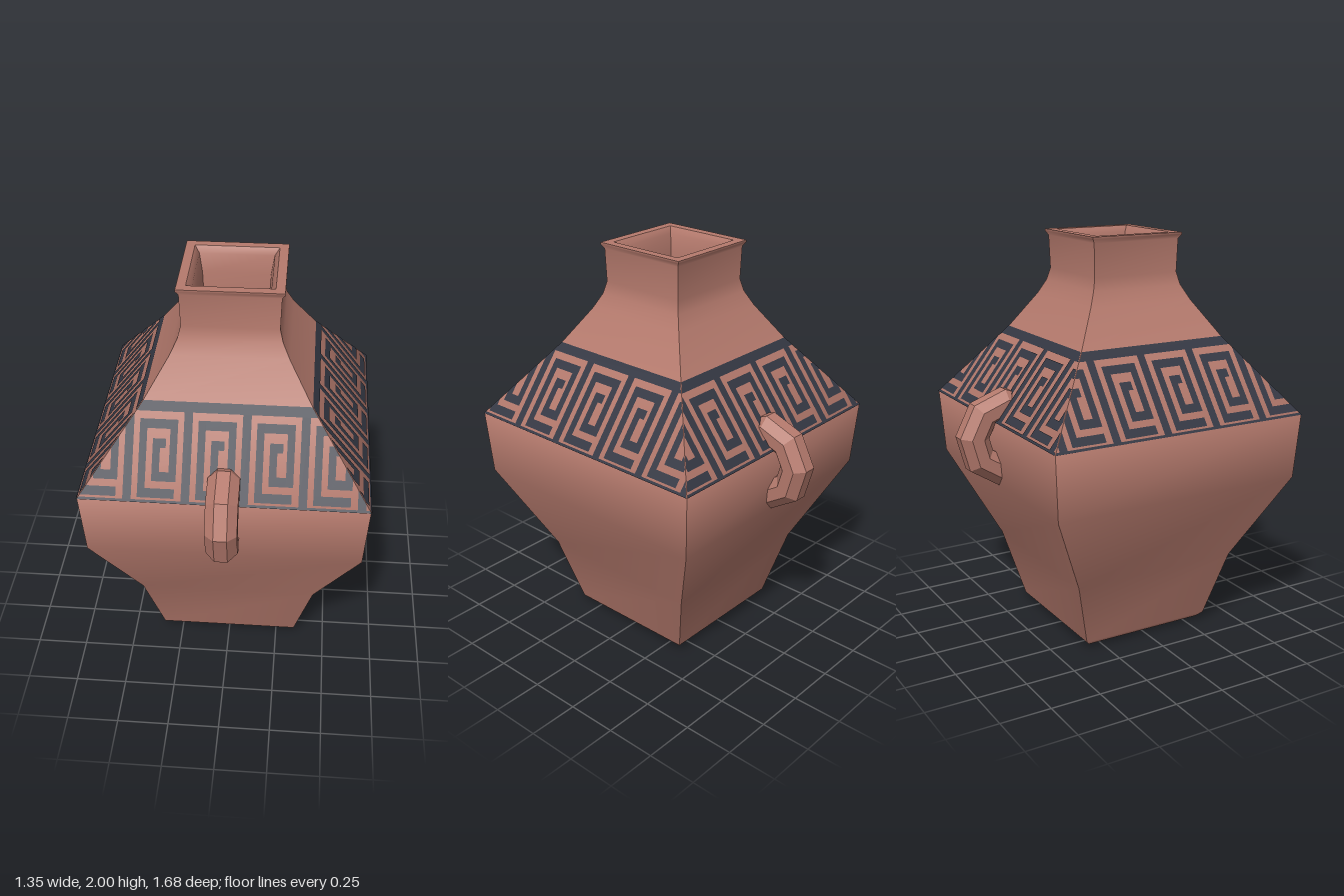
import * as THREE from 'three';

const clay = new THREE.MeshStandardMaterial({ color: 0xb57a6d });
clay.name = 'clay';
const slip = new THREE.MeshStandardMaterial({ color: 0x343743 });
slip.name = 'darkSlip';
const pale = new THREE.MeshStandardMaterial({ color: 0xcccccc });
pale.name = 'paleFloor';

// Square cross-section profiles: [half width, height]
const OUTER = [[0, 0], [0.27, 0.002], [0.32, 0.014], [0.345, 0.04], [0.435, 0.38], [0.65, 0.82],
  [0.67, 1.14], [0.39, 1.5], [0.275, 1.68], [0.24, 1.75], [0.225, 1.81], [0.23, 1.97], [0.243, 1.99], [0.243, 2]];
const RIM = [[0.243, 2], [0.2, 2]];
const INNER = [[0.2, 2], [0.178, 1.97], [0.163, 1.88], [0.157, 1.75], [0.155, 1.5]];

const mesh = (geo, mat, name) => {
  const m = new THREE.Mesh(geo, mat);
  m.name = name;
  return m;
};

// Indexed surface with smooth normals; fn(i, j) gives each point
function grid(ni, nj, fn) {
  const pos = [], idx = [];
  for (let i = 0; i <= ni; i++) for (let j = 0; j <= nj; j++) pos.push(...fn(i, j));
  for (let i = 0; i < ni; i++) for (let j = 0; j < nj; j++) {
    const a = i * (nj + 1) + j, b = a + nj + 1;
    idx.push(a, a + 1, b + 1, a, b + 1, b);
  }
  const g = new THREE.BufferGeometry();
  g.setAttribute('position', new THREE.Float32BufferAttribute(pos, 3));
  g.setIndex(idx);
  g.computeVertexNormals();
  return g;
}

// One wall of the square vase, facing +z
const wall = (profile) => grid(profile.length - 1, 1, (i, j) => {
  const [w, y] = profile[i];
  return [j ? w : -w, y, w];
});

// Half width of the sloping shoulder
const shoulder = (y) => 0.67 - (y - 1.14) * (0.28 / 0.36);

// Keep the part of a polygon where f >= 0
function clip(poly, f) {
  const out = [];
  poly.forEach((p, i) => {
    const q = poly[(i + 1) % poly.length], a = f(p), b = f(q);
    if (a >= 0) out.push(p);
    if (a * b < 0) {
      const t = a / (a - b);
      out.push([p[0] + (q[0] - p[0]) * t, p[1] + (q[1] - p[1]) * t]);
    }
  });
  return out;
}

// Painted key pattern of square spirals on one shoulder face
function pattern(shift) {
  const pos = [];
  const rect = (x0, y0, x1, y1) => {
    let poly = [[x0, y0], [x1, y0], [x1, y1], [x0, y1]];
    poly = clip(poly, ([x, y]) => shoulder(y) - x);
    poly = clip(poly, ([x, y]) => shoulder(y) + x);
    for (let k = 1; k + 1 < poly.length; k++)
      for (const [x, y] of [poly[0], poly[k], poly[k + 1]]) pos.push(x, y, shoulder(y) + 0.004);
  };
  const h = 0.017;
  const spiral = [[0.065, 1.175], [-0.07, 1.175], [-0.07, 1.425], [0.07, 1.425], [0.07, 1.235],
    [-0.008, 1.235], [-0.008, 1.355], [0.018, 1.355]];
  rect(-0.7, 1.47, 0.7, 1.508);
  rect(-0.7, 1.14, 0.7, 1.15);
  for (let c = -3; c <= 3; c++) {
    const cx = c * 0.267 + shift;
    rect(cx + 0.114, 1.15, cx + 0.153, 1.47);
    for (let k = 0; k + 1 < spiral.length; k++) {
      const [ax, ay] = spiral[k], [bx, by] = spiral[k + 1];
      rect(cx + Math.min(ax, bx) - h, Math.min(ay, by) - h, cx + Math.max(ax, bx) + h, Math.max(ay, by) + h);
    }
  }
  const g = new THREE.BufferGeometry();
  g.setAttribute('position', new THREE.Float32BufferAttribute(pos, 3));
  g.computeVertexNormals();
  return g;
}

// Faceted ring handle: eight-sided section swept round an arc into the body
function handle() {
  const g = grid(6, 8, (i, j) => {
    const a = THREE.MathUtils.degToRad(-121 + i * 42.3);
    const b = (j + 0.5) * Math.PI / 4;
    const r = 0.163 + 0.08 * Math.cos(b);
    return [0.08 * Math.sin(b), 1.05 + r * Math.sin(a), 0.605 + r * Math.cos(a)];
  }).toNonIndexed();
  g.computeVertexNormals();
  return g;
}

export function createModel() {
  const vase = new THREE.Group();
  vase.name = 'squareVase';

  // Four sides: front, left, back, right
  const shifts = [-0.04, -0.02, -0.04, 0.04];
  ['front', 'left', 'back', 'right'].forEach((name, k) => {
    const side = new THREE.Group();
    side.name = name + 'Side';
    side.rotation.y = k * Math.PI / 2;
    side.add(mesh(wall(OUTER), clay, 'bodyWall'), mesh(wall(RIM), clay, 'rim'),
      mesh(wall(INNER), clay, 'innerNeckWall'), mesh(pattern(shifts[k]), slip, 'spiralBand'));
    vase.add(side);
  });

  // Floor inside the neck
  const floor = mesh(new THREE.PlaneGeometry(0.31, 0.31), pale, 'innerFloor');
  floor.rotation.x = -Math.PI / 2;
  floor.position.y = 1.5;
  vase.add(floor);

  // Handles front and back
  [0, Math.PI].forEach((turn, k) => {
    const m = mesh(handle(), clay, k ? 'backHandle' : 'frontHandle');
    m.rotation.y = turn;
    vase.add(m);
  });
  return vase;
}
